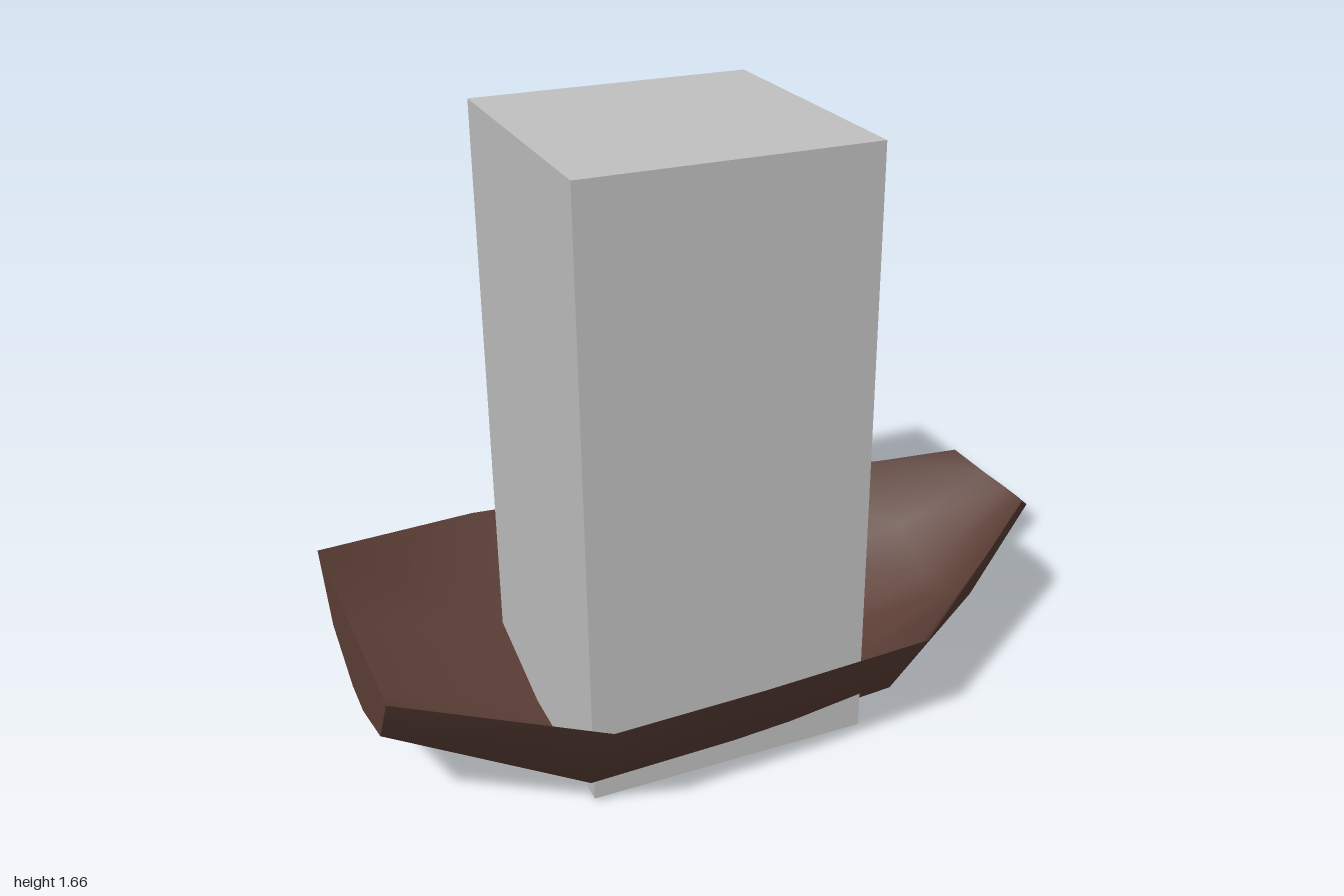
import * as THREE from 'three';

// Half cross-sections of the hull, stern to bow: rim, chine and floor edge as [x, y, z]
const STATIONS = [
  [[-1, 0.47, 0.39], [-1, 0.3, 0.27], [-1, 0.235, 0.06]],
  [[-0.51, 0.375, 0.59], [-0.51, 0.095, 0.405], [-0.51, 0.018, 0.09]],
  [[-0.1, 0.365, 0.567], [-0.1, 0.092, 0.39], [-0.1, 0.017, 0.09]],
  [[0.4, 0.345, 0.515], [0.4, 0.083, 0.34], [0.4, 0, 0.085]],
  [[0.72, 0.425, 0.305], [0.735, 0.23, 0.21], [0.74, 0.15, 0.06]],
  [[0.91, 0.482, 0.18], [0.98, 0.42, 0.11], [1, 0.405, 0.035]],
];

// Mirror a half section into a full one running from +z rim to -z rim
const fullSection = (half) => [...half, ...half.map(([x, y, z]) => [x, y, -z]).reverse()];

function buildGeometry(points, index) {
  const geometry = new THREE.BufferGeometry();
  geometry.setAttribute('position', new THREE.Float32BufferAttribute(points.flat(), 3));
  geometry.setIndex(index);
  geometry.computeVertexNormals();
  return geometry;
}

// Smooth skin lofted through the sections
function hullGeometry(sections) {
  const n = sections[0].length;
  const index = [];
  for (let i = 0; i < sections.length - 1; i++) {
    for (let j = 0; j < n - 1; j++) {
      const a = i * n + j, b = a + n;
      index.push(a, a + 1, b, b, a + 1, b + 1);
    }
  }
  return buildGeometry(sections.flat(), index);
}

// Flat plate closing the stern
function transomGeometry(section) {
  const index = [];
  for (let j = 1; j < section.length - 1; j++) index.push(0, j + 1, j);
  return buildGeometry(section, index);
}

export function createModel() {
  const model = new THREE.Group();
  const brown = new THREE.MeshStandardMaterial({ color: 0x5d4037, side: THREE.DoubleSide });
  brown.name = 'dark brown';
  const grey = new THREE.MeshStandardMaterial({ color: 0xc0c0c0 });
  grey.name = 'light grey';

  const add = (name, geometry, material) => {
    const mesh = new THREE.Mesh(geometry, material);
    mesh.name = name;
    model.add(mesh);
    return mesh;
  };

  // Open boat hull
  const sections = STATIONS.map(fullSection);
  add('hull', hullGeometry(sections), brown);
  add('transom', transomGeometry(sections[0]), brown);

  // Tall block standing in the hull
  add('block', new THREE.BoxGeometry(0.775, 1.65, 0.775), grey).position.set(-0.103, 0.84, -0.015);

  return model;
}
